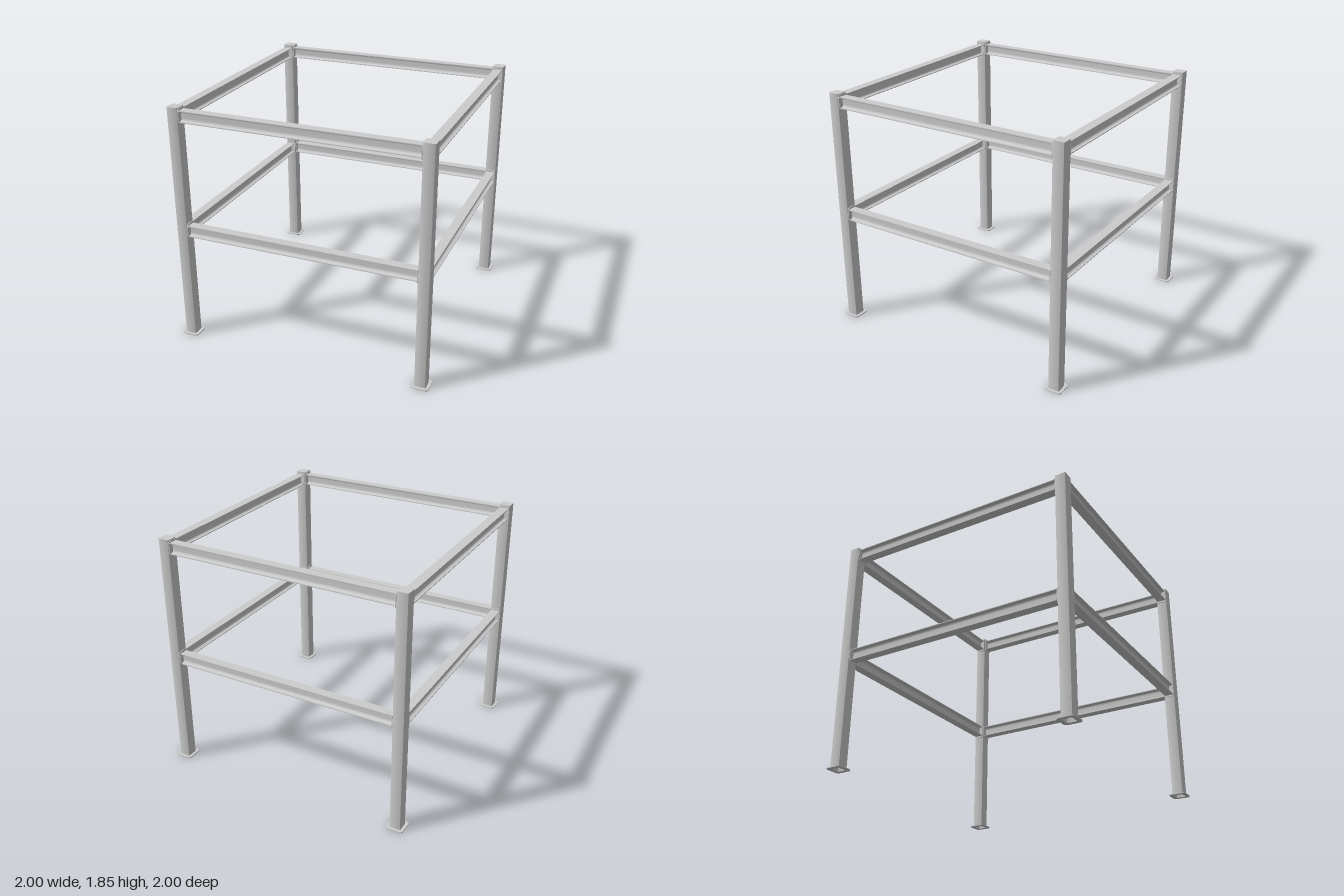
import * as THREE from 'three';
import { toCreasedNormals } from 'three/addons/utils/BufferGeometryUtils.js';

const P = 0.932;        // post centre offset
const POST = 0.086;     // post width
const HEIGHT = 1.845;   // post height
const PLATE = 0.006;    // end plate thickness
const steel = new THREE.MeshStandardMaterial({ color: 0xcccccc });

// Rounded rectangle centred on the origin
function roundedRect(w, h, r, Type = THREE.Shape) {
  const x = w / 2, y = h / 2, s = new Type();
  s.moveTo(-x + r, -y);
  s.lineTo(x - r, -y);
  s.absarc(x - r, -y + r, r, -Math.PI / 2, 0);
  s.lineTo(x, y - r);
  s.absarc(x - r, y - r, r, 0, Math.PI / 2);
  s.lineTo(-x + r, y);
  s.absarc(-x + r, y - r, r, Math.PI / 2, Math.PI);
  s.lineTo(-x, -y + r);
  s.absarc(-x + r, -y + r, r, Math.PI, Math.PI * 1.5);
  return s;
}

// I-section with filleted web roots
function beamSection(w, h, flange, web, r) {
  const x = w / 2, y = h / 2, f = y - flange, t = web / 2;
  const s = new THREE.Shape();
  s.moveTo(-x, -y);
  s.lineTo(x, -y);
  s.lineTo(x, -f);
  s.lineTo(t + r, -f);
  s.absarc(t + r, -f + r, r, -Math.PI / 2, -Math.PI, true);
  s.lineTo(t, f - r);
  s.absarc(t + r, f - r, r, Math.PI, Math.PI / 2, true);
  s.lineTo(x, f);
  s.lineTo(x, y);
  s.lineTo(-x, y);
  s.lineTo(-x, f);
  s.lineTo(-t - r, f);
  s.absarc(-t - r, f - r, r, Math.PI / 2, 0, true);
  s.lineTo(-t, -f + r);
  s.absarc(-t - r, -f + r, r, 0, -Math.PI / 2, true);
  s.lineTo(-x, -f);
  return s;
}

function extrude(shape, depth) {
  const g = new THREE.ExtrudeGeometry(shape, { depth, bevelEnabled: false, curveSegments: 6 });
  return toCreasedNormals(g, 0.6);
}

function add(parent, name, geometry) {
  const mesh = new THREE.Mesh(geometry, steel);
  mesh.name = name;
  parent.add(mesh);
  return mesh;
}

export function createModel() {
  const model = new THREE.Group();
  model.name = 'steelFrame';

  // Shared geometries; upright pieces are extruded along +y
  const inner = POST - 0.014;
  const tube = roundedRect(POST, POST, 0.008);
  tube.holes.push(roundedRect(inner, inner, 0.004, THREE.Path));
  const foot = roundedRect(0.132, 0.132, 0.024);
  foot.holes.push(roundedRect(inner, inner, 0.004, THREE.Path));
  const upright = (shape, h) => extrude(shape, h).rotateX(-Math.PI / 2);
  const tubeGeo = upright(tube, HEIGHT - 0.006);
  const capGeo = upright(roundedRect(POST, POST, 0.008), 0.006);
  const footGeo = upright(foot, 0.008);

  // Hollow posts with caps and foot plates
  for (const sx of [-1, 1]) {
    for (const sz of [-1, 1]) {
      const post = new THREE.Group();
      post.name = (sz > 0 ? 'front' : 'back') + (sx > 0 ? 'Left' : 'Right') + 'Post';
      post.position.set(sx * P, 0, sz * P);
      add(post, 'tube', tubeGeo);
      add(post, 'cap', capGeo).position.y = HEIGHT - 0.006;
      add(post, 'footPlate', footGeo);
      model.add(post);
    }
  }

  // Horizontal I-beams with rounded end plates, on all four sides at two levels
  const span = 2 * (P - POST / 2);
  const beamLength = span - 2 * PLATE;
  const beamGeo = extrude(beamSection(0.07, 0.088, 0.006, 0.007, 0.018), beamLength)
    .translate(0, 0, -beamLength / 2);
  const endGeo = extrude(roundedRect(0.08, 0.122, 0.024), PLATE)
    .translate(0, 0, -PLATE / 2);
  const sides = ['left', 'back', 'right', 'front'];
  for (const [level, y] of [['lower', 0.89], ['upper', 1.78]]) {
    sides.forEach((side, i) => {
      const a = i * Math.PI / 2;
      const rail = new THREE.Group();
      rail.name = level + side[0].toUpperCase() + side.slice(1) + 'Rail';
      rail.position.set(P * Math.cos(a), y, -P * Math.sin(a));
      rail.rotation.y = a;
      add(rail, 'beam', beamGeo);
      for (const s of [-1, 1]) {
        add(rail, 'endPlate', endGeo).position.z = s * (span - PLATE) / 2;
      }
      model.add(rail);
    });
  }

  return model;
}
